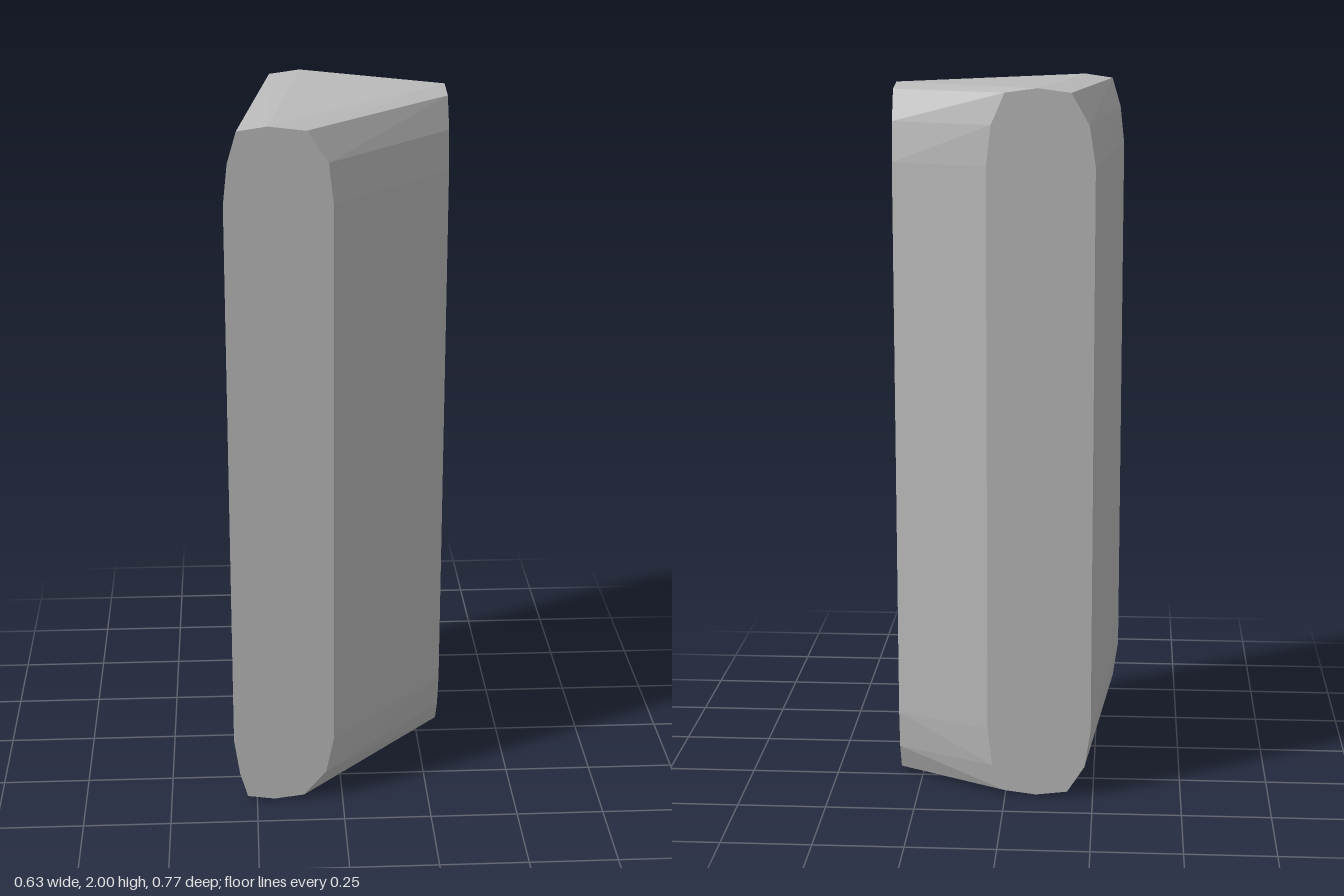
import * as THREE from 'three';
import { ConvexGeometry } from 'three/addons/geometries/ConvexGeometry.js';

// Heights of the seven outline points of one end face, from side to crown to side
const topY = [1.79, 1.9, 1.985, 1.997, 1.985, 1.9, 1.79];
const bottomY = [0.2, 0.09, 0.014, 0.003, 0.014, 0.09, 0.2];

// Points of a tall rounded end face; place() maps (across, height) to 3D
function endFace(topAcross, bottomAcross, place) {
  return [
    ...topAcross.map((a, i) => place(a, topY[i])),
    ...bottomAcross.map((a, i) => place(a, bottomY[i])),
  ];
}

export function createModel() {
  const group = new THREE.Group();
  group.name = 'facetedBlock';
  const grey = new THREE.MeshStandardMaterial({ color: 0xbababa });
  grey.name = 'light grey';

  // Three upright faces: front, right-hand side and back
  const front = endFace(
    [-0.315, -0.303, -0.278, -0.197, -0.095, -0.038, -0.025],
    [-0.315, -0.299, -0.277, -0.2, -0.113, -0.048, -0.025],
    (a, y) => new THREE.Vector3(a, y, 0.385));
  const side = endFace(
    [0.025, 0.006, -0.046, -0.14, -0.222, -0.258, -0.272],
    [0.025, -0.006, -0.055, -0.135, -0.222, -0.257, -0.272],
    (a, y) => new THREE.Vector3(0.315, y === 1.997 ? 2 : y === 0.003 ? 0 : y, a));
  const back = endFace(
    [-0.243, -0.226, -0.177, -0.088, 0, 0.037, 0.05],
    [-0.243, -0.226, -0.177, -0.088, 0, 0.037, 0.05],
    (a, y) => new THREE.Vector3(a, y, -0.385));

  // The body is the convex skin stretched around the three faces
  const body = new THREE.Mesh(new ConvexGeometry([...front, ...side, ...back]), grey);
  body.name = 'body';
  group.add(body);
  return group;
}
